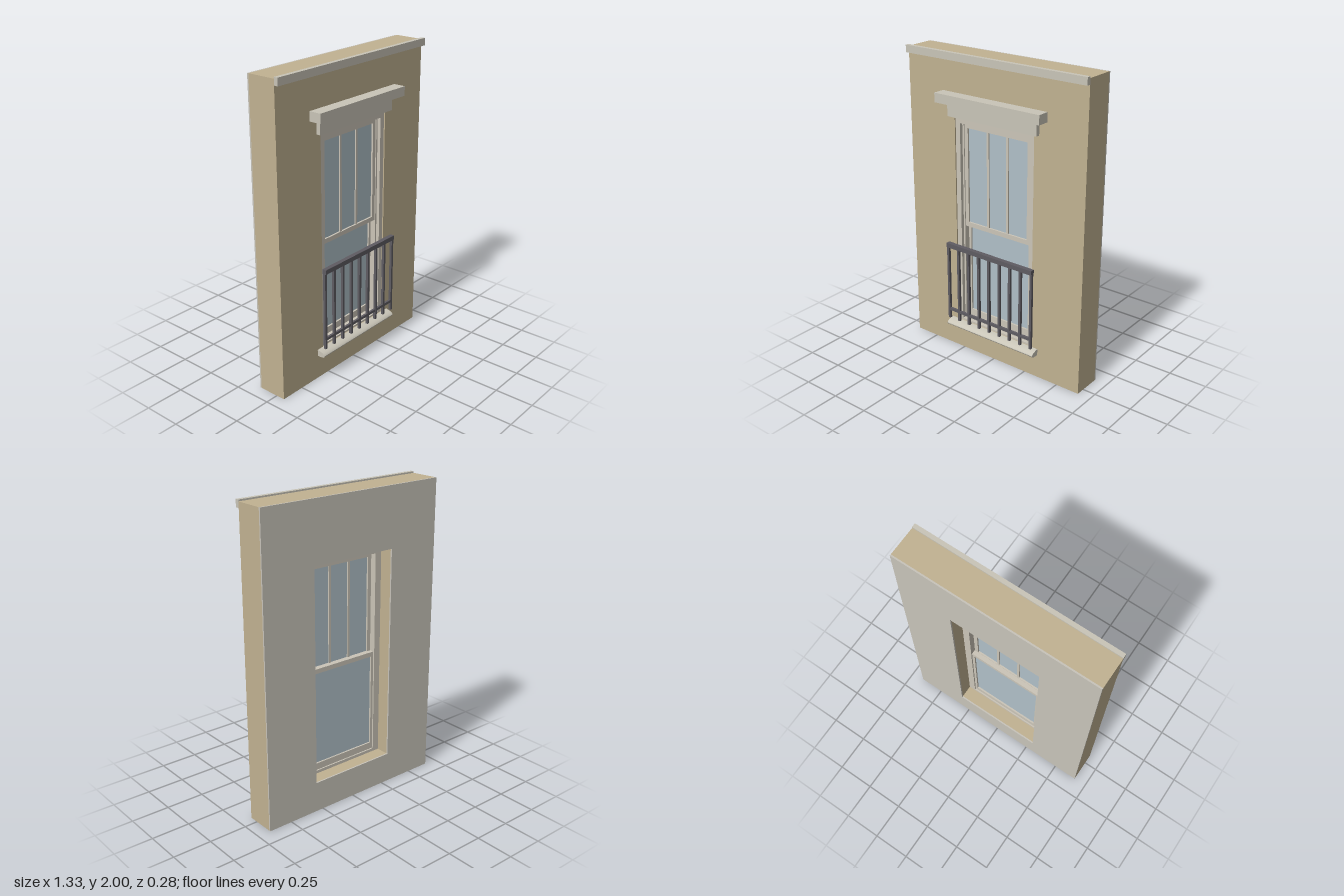
import * as THREE from 'three';

const mat = (name, color, side = THREE.FrontSide) => {
  const m = new THREE.MeshStandardMaterial({ color, side });
  m.name = name;
  return m;
};

export function createModel() {
  const tan = mat('tan render', 0xc1b292);
  const plaster = mat('grey plaster', 0xc8c4ba);
  const stone = mat('pale stone', 0xc9c5b8);
  const paint = mat('window paint', 0xcbc5b8);
  const glass = mat('blue glass', 0xb0c0c8);
  const iron = mat('dark iron', 0x5f5c62);

  const model = new THREE.Group();
  model.name = 'windowWall';

  const add = (parent, name, geometry, material) => {
    const mesh = new THREE.Mesh(geometry, material);
    mesh.name = name;
    parent.add(mesh);
    return mesh;
  };
  // Box given by its limits on each axis
  const box = (parent, name, material, x0, x1, y0, y1, z0, z1) => {
    const g = new THREE.BoxGeometry(x1 - x0, y1 - y0, z1 - z0);
    g.translate((x0 + x1) / 2, (y0 + y1) / 2, (z0 + z1) / 2);
    return add(parent, name, g, material);
  };
  // Symmetric rectangular plate with a rectangular hole: [half width, bottom, top]
  const rectPoints = ([w, b, t]) =>
    [[-w, b], [w, b], [w, t], [-w, t]].map(([x, y]) => new THREE.Vector2(x, y));
  const ring = (parent, name, material, outer, inner, z0, z1) => {
    const shape = new THREE.Shape(rectPoints(outer));
    shape.holes.push(new THREE.Path(rectPoints(inner).reverse()));
    const g = new THREE.ExtrudeGeometry(shape, { depth: z1 - z0, bevelEnabled: false });
    g.translate(0, 0, z0);
    return add(parent, name, g, material);
  };

  // Wall with its opening and inside plaster
  const outline = [0.663, 0, 1.99];
  const opening = [0.3, 0.2, 1.6];
  ring(model, 'wall', tan, outline, opening, -0.13, 0.06);
  ring(model, 'insidePlaster', plaster, outline, opening, -0.14, -0.13);

  // Stone trim
  box(model, 'cornice', stone, -0.663, 0.663, 1.953, 2, 0.06, 0.087);
  box(model, 'hoodSlab', stone, -0.39, 0.39, 1.694, 1.754, 0.06, 0.14);
  box(model, 'hoodFrieze', stone, -0.335, 0.335, 1.605, 1.694, 0.06, 0.087);

  // Sill with a rounded nose, profile drawn in z and y
  const nose = new THREE.Shape();
  nose.moveTo(0.06, 0.16);
  nose.lineTo(0.088, 0.16);
  nose.quadraticCurveTo(0.115, 0.16, 0.117, 0.177);
  nose.quadraticCurveTo(0.105, 0.197, 0.06, 0.202);
  const sill = new THREE.ExtrudeGeometry(nose, { depth: 0.7, bevelEnabled: false, curveSegments: 8 });
  sill.rotateY(-Math.PI / 2);
  sill.translate(0.35, 0, 0);
  add(model, 'sill', sill, stone);

  // Window frame: outer casing and narrower inner stop
  const win = new THREE.Group();
  win.name = 'window';
  model.add(win);
  ring(win, 'casing', paint, opening, [0.266, 0.212, 1.565], 0.03, 0.052);
  ring(win, 'frame', paint, opening, [0.254, 0.22, 1.56], -0.045, 0.03);

  // Upper sash, in the outer track, with two glazing bars
  ring(win, 'upperSash', paint, [0.254, 0.878, 1.56], [0.228, 0.908, 1.533], -0.005, 0.024);
  box(win, 'upperGlass', glass, -0.228, 0.228, 0.908, 1.533, 0.006, 0.012);
  for (const x of [-0.075, 0.075]) {
    box(win, 'glazingBar', paint, x - 0.008, x + 0.008, 0.908, 1.533, -0.002, 0.02);
  }

  // Lower sash, in the inner track
  ring(win, 'lowerSash', paint, [0.254, 0.22, 0.91], [0.236, 0.265, 0.88], -0.036, -0.007);
  box(win, 'lowerGlass', glass, -0.236, 0.236, 0.265, 0.88, -0.025, -0.019);

  // Iron railing
  const railing = new THREE.Group();
  railing.name = 'railing';
  model.add(railing);
  box(railing, 'topRail', iron, -0.337, 0.337, 0.738, 0.768, 0.094, 0.123);
  box(railing, 'bottomRail', iron, -0.337, 0.337, 0.279, 0.297, 0.101, 0.116);
  for (let i = -4; i <= 4; i++) {
    const x = i * 0.0825;
    box(railing, 'baluster', iron, x - 0.008, x + 0.008, 0.222, 0.74, 0.1, 0.117);
  }

  return model;
}
